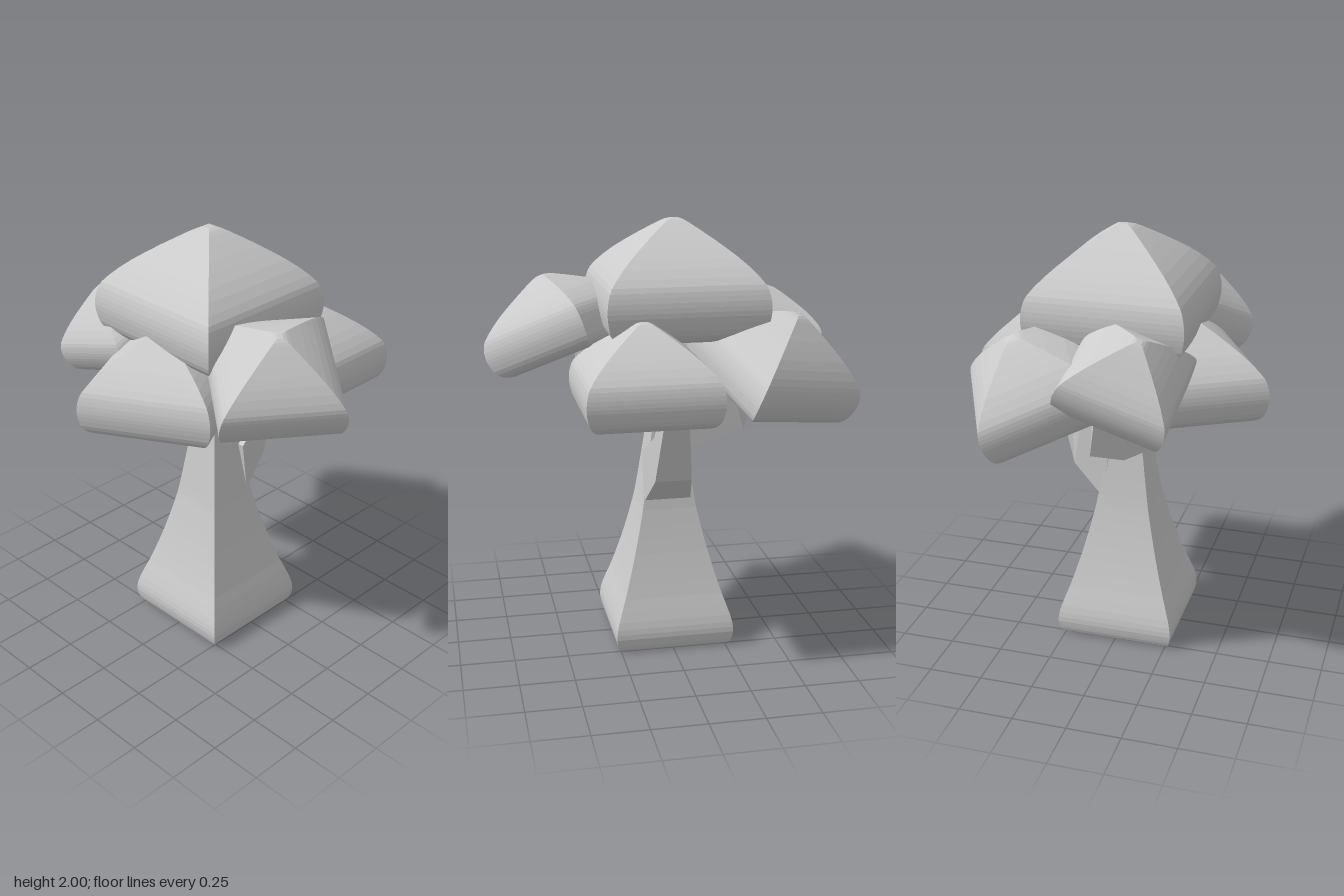
import * as THREE from 'three';

const UP = new THREE.Vector3(0, 1, 0);
const material = new THREE.MeshStandardMaterial({ color: 0xcccccc, flatShading: true, side: THREE.DoubleSide });

function mesh(name, geometry) {
  const m = new THREE.Mesh(geometry, material);
  m.name = name;
  return m;
}

// Square turned solid: profile of [half width, height], listed upwards on the outside
function squareLathe(profile) {
  const points = profile.map(([w, y]) => new THREE.Vector2(w * Math.SQRT2, y));
  return new THREE.LatheGeometry(points, 4, Math.PI / 4);
}

// Densify a few profile points into a smooth curve
function smooth(points, count) {
  const curve = new THREE.SplineCurve(points.map(([x, y]) => new THREE.Vector2(x, y)));
  return curve.getPoints(count).map((p) => [p.x, p.y]);
}

// Box limb growing along +x; each ring is [lower x, lower y, upper x, upper y, half width, z shift]
function limb(rings) {
  const n = rings.length - 1;
  const geometry = new THREE.BoxGeometry(2, 1, 2, 1, n, 1);
  const pos = geometry.attributes.position;
  for (let k = 0; k < pos.count; k++) {
    const [lx, ly, ux, uy, w, shift] = rings[Math.round((pos.getY(k) + 0.5) * n)];
    const upper = pos.getZ(k) > 0;
    pos.setXYZ(k, upper ? ux : lx, upper ? uy : ly, pos.getX(k) * w + shift);
  }
  geometry.computeVertexNormals();
  return geometry;
}

export function createModel() {
  const model = new THREE.Group();
  model.name = 'tree';

  // Flared square trunk with rounded foot
  const trunk = mesh('trunk', squareLathe([
    [0, 0], [0.25, 0], [0.265, 0.012],
    ...smooth([[0.272, 0.03], [0.279, 0.08], [0.266, 0.15], [0.222, 0.28], [0.174, 0.45],
      [0.139, 0.6], [0.12, 0.7], [0.088, 0.93], [0.062, 1.12]], 20),
    [0.055, 1.25], [0, 1.25],
  ]));
  trunk.position.x = -0.007;
  model.add(trunk);

  // Branches: name, turn about the trunk, rings
  const branches = [
    ['backBranch', Math.PI / 2, [[0.1, 0.68, 0.07, 0.93, 0.112, 0], [0.25, 0.83, 0.22, 1.03, 0.085, 0],
      [0.35, 1.2, 0.28, 1.2, 0.05, 0], [0.38, 1.38, 0.33, 1.38, 0.03, 0]]],
    ['rightBranch', Math.PI, [[0.07, 0.925, 0.05, 1.115, 0.095, 0], [0.37, 1.01, 0.32, 1.2, 0.08, 0],
      [0.46, 1.22, 0.4, 1.25, 0.05, -0.02], [0.5, 1.42, 0.45, 1.42, 0.03, -0.05]]],
    ['leftBranch', 0, [[0.03, 1.12, 0.03, 1.24, 0.063, 0], [0.27, 1.18, 0.22, 1.29, 0.055, 0],
      [0.4, 1.36, 0.35, 1.4, 0.037, 0.01], [0.47, 1.53, 0.42, 1.53, 0.025, 0.03]]],
    ['frontBranch', -Math.PI / 2, [[0.03, 1.13, 0.03, 1.24, 0.058, 0], [0.18, 1.21, 0.15, 1.29, 0.045, 0],
      [0.28, 1.38, 0.23, 1.38, 0.03, 0.03]]],
  ];
  for (const [name, turn, rings] of branches) {
    const branch = mesh(name, limb(rings));
    branch.rotation.y = turn;
    model.add(branch);
  }

  // Pillowy four-sided crown with a recessed underside
  const crownGeometry = squareLathe([
    [0, -0.06], [0.15, -0.06], [0.25, -0.16],
    ...smooth([[0.275, -0.17], [0.315, -0.155], [0.347, -0.115], [0.362, -0.05], [0.364, 0], [0.356, 0.05],
      [0.334, 0.1], [0.26, 0.18], [0.16, 0.26], [0.06, 0.33]], 20),
    [0.04, 0.342], [0.018, 0.35], [0, 0.35],
  ]);

  // name, centre, size, yaw, tilt angle in degrees, direction of lean [x, z]
  const crowns = [
    ['topCrown', [-0.05, 1.65, -0.01], 1, 0, 0, [1, 0]],
    ['backCrown', [0.158, 1.316, -0.395], 0.81, 0, 0, [1, 0]],
    ['frontCrown', [-0.05, 1.312, 0.272], 0.835, 0.5, 1, [-1, 0]],
    ['leftCrown', [0.455, 1.49, 0.105], 0.75, -0.63, 24, [0.81, 0.59]],
    ['rightBackCrown', [-0.455, 1.35, -0.285], 0.8, 0.41, 24.5, [-0.74, -0.67]],
    ['rightFrontCrown', [-0.475, 1.43, 0.12], 0.68, 0.01, 28, [-0.7, 0.71]],
  ];
  for (const [name, centre, size, yaw, tilt, [dx, dz]] of crowns) {
    const crown = mesh(name, crownGeometry);
    const a = THREE.MathUtils.degToRad(tilt);
    const axis = new THREE.Vector3(dx * Math.sin(a), Math.cos(a), dz * Math.sin(a)).normalize();
    crown.quaternion.setFromUnitVectors(UP, axis)
      .multiply(new THREE.Quaternion().setFromAxisAngle(UP, yaw));
    crown.position.set(...centre);
    crown.scale.setScalar(size);
    model.add(crown);
  }
  return model;
}
